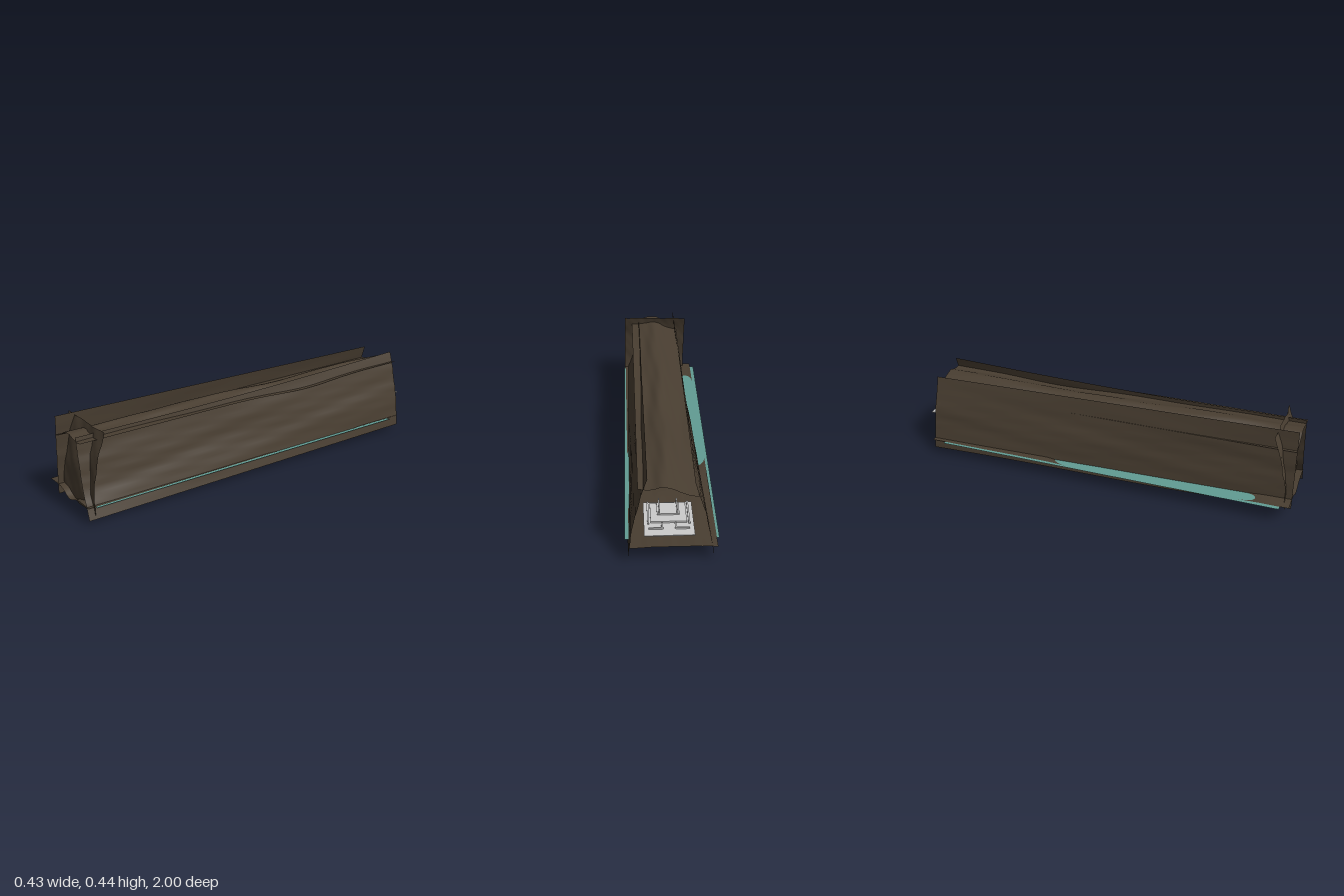
import * as THREE from 'three';

const rock = new THREE.MeshStandardMaterial({ color: 0x493e31, side: THREE.DoubleSide });
const waterMat = new THREE.MeshStandardMaterial({ color: 0x629c94, side: THREE.DoubleSide });
const grey = new THREE.MeshStandardMaterial({ color: 0xcccccc });

const lerp = THREE.MathUtils.lerp;
const bell = (t, centre, width) => Math.exp(-(((t - centre) / width) ** 2));
// soft window: 1 between a and b, fading out over w
const band = (t, a, b, w) =>
  THREE.MathUtils.smoothstep(t, a - w, a + w) * (1 - THREE.MathUtils.smoothstep(t, b - w, b + w));
// gentle rock relief, longer along the tunnel than across it
const relief = (a, z, k) =>
  Math.sin(a * 31 + z * 2.3 + k) * 0.4 + Math.sin(a * 17 - z * 6.1 + k * 2) * 0.3 +
  Math.sin(a * 67 + z * 9 + k * 3) * 0.2 + Math.sin(a * 120 - z * 13 + k) * 0.1;

// rock sheet whose vertices follow f(u, v) -> [x, y, z]
function sheet(name, nu, nv, f) {
  const geo = new THREE.PlaneGeometry(1, 1, nu, nv);
  const p = geo.attributes.position;
  for (let i = 0; i < p.count; i++) p.setXYZ(i, ...f(p.getX(i) + 0.5, p.getY(i) + 0.5));
  geo.computeVertexNormals();
  const mesh = new THREE.Mesh(geo, rock);
  mesh.name = name;
  return mesh;
}

function box(name, w, h, d, x, y, z) {
  const mesh = new THREE.Mesh(new THREE.BoxGeometry(w, h, d), grey);
  mesh.position.set(x, y, z);
  mesh.name = name;
  return mesh;
}

export function createModel() {
  const tunnel = new THREE.Group();
  tunnel.name = 'tunnel';
  const zAt = (v) => lerp(-0.94, 1, v);

  // Floor: long trough tapering out towards the back, edges near the water line
  tunnel.add(sheet('floor', 40, 80, (u, v) => {
    const x = lerp(-0.198, 0.198, u), z = zAt(v);
    const deep = 0.03 * band(z, -0.38, 0.9, 0.15) + 0.052 * band(z, 0.02, 0.82, 0.18);
    let y = 0.0825 + 0.003 * Math.sin(Math.PI * u) + 0.002 * relief(x, z, 1);
    y -= deep * bell(x, 0.05, lerp(0.045, 0.075, band(z, 0.1, 2, 0.4))) * (1 + 0.12 * relief(x, z, 4));
    y -= 0.032 * bell(x, 0, 0.06) * band(z, 0.88, 1.5, 0.1);
    y -= 0.024 * bell(x, -0.155, 0.035) * band(z, -0.2, 0.78, 0.1);
    y -= 0.014 * bell(x, 0.182, 0.02) * band(z, -0.6, -0.1, 0.08);
    return [x, Math.max(y, 0.001), z];
  }));

  // Ceiling: arch meeting one wall low and reaching past the other, flatter at the open end
  tunnel.add(sheet('ceiling', 32, 80, (u, v) => {
    const x = lerp(-0.11, 0.155, u), z = zAt(v);
    const edge = lerp(0.342, 0.388, u) - 0.02 * bell(z, -0.3, 0.25) * u;
    const y = edge + lerp(0.026, 0.042, v) * bell(x, 0.022, 0.06) + 0.009 * relief(x, z, 2) * Math.sin(Math.PI * u);
    return [x, y, z];
  }));

  // Right-hand wall: foot swings outwards towards the open end
  tunnel.add(sheet('rightWall', 24, 80, (u, v) => {
    const z = zAt(v);
    const y = lerp(0.028 + 0.005 * Math.sin(v * 7), 0.412 + 0.03 * v, u);
    const foot = lerp(-0.181, -0.117, Math.pow(v, 1.3));
    const bulge = Math.sin(Math.PI * u) * (0.004 * (1 - v) + 0.005 * relief(y, z, 2));
    return [lerp(foot, -0.092, Math.pow(u, 1.2)) - bulge, y, z];
  }));

  // Left-hand wall: leans outwards along its whole length
  tunnel.add(sheet('leftWall', 24, 80, (u, v) => {
    const z = zAt(v);
    const top = 0.436 - 0.03 * v - 0.012 * Math.sin(Math.PI * v);
    const y = lerp(0.02 + 0.008 * (1 - v), top, u);
    const bulge = Math.sin(Math.PI * u) * (0.014 * (1 - v) - 0.014 * v + 0.005 * relief(y, z, 4));
    return [lerp(0.202, 0.113, u) + bulge, y, z];
  }));

  // End wall: slopes inwards towards the top
  tunnel.add(sheet('endWall', 24, 24, (u, v) => {
    const x = lerp(lerp(-0.153, -0.16, v), lerp(0.203, 0.197, v), u);
    const y = lerp(0.039, lerp(0.425, 0.432, u), v);
    const z = 0.97 - 0.072 * v * v + 0.006 * relief(x, y * 6, 5);
    return [x, y, z];
  }));

  // Water surface
  const water = new THREE.Mesh(new THREE.PlaneGeometry(0.425, 1.825), waterMat);
  water.name = 'water';
  water.rotation.set(-Math.PI / 2, 0, -0.005);
  water.position.set(-0.002, 0.079, 0.045);
  tunnel.add(water);

  // Landing platform at the open end, with stepped slabs, rails and posts
  const dock = new THREE.Group();
  dock.name = 'platform';
  dock.position.set(0.02, 0.187, -0.87);
  dock.add(box('deck', 0.22, 0.004, 0.26, 0, 0, 0));
  dock.add(box('lowerStep', 0.16, 0.008, 0.15, 0, 0.006, 0.04));
  dock.add(box('upperStep', 0.1, 0.008, 0.09, 0, 0.013, 0.06));
  for (const s of [-1, 1]) {
    dock.add(box('sideRail', 0.008, 0.01, 0.17, s * 0.09, 0.006, 0.04));
    dock.add(box('kerb', 0.06, 0.008, 0.008, s * 0.06, 0.005, -0.08));
    dock.add(box('kerbReturn', 0.008, 0.008, 0.04, s * 0.03, 0.005, -0.06));
    for (let i = 0; i < 4; i++)
      dock.add(box('post', 0.005, 0.028, 0.005, s * 0.04, 0.024, 0.02 + i * 0.025));
    dock.add(box('topRail', 0.006, 0.005, 0.09, s * 0.04, 0.04, 0.057));
  }
  tunnel.add(dock);

  return tunnel;
}
